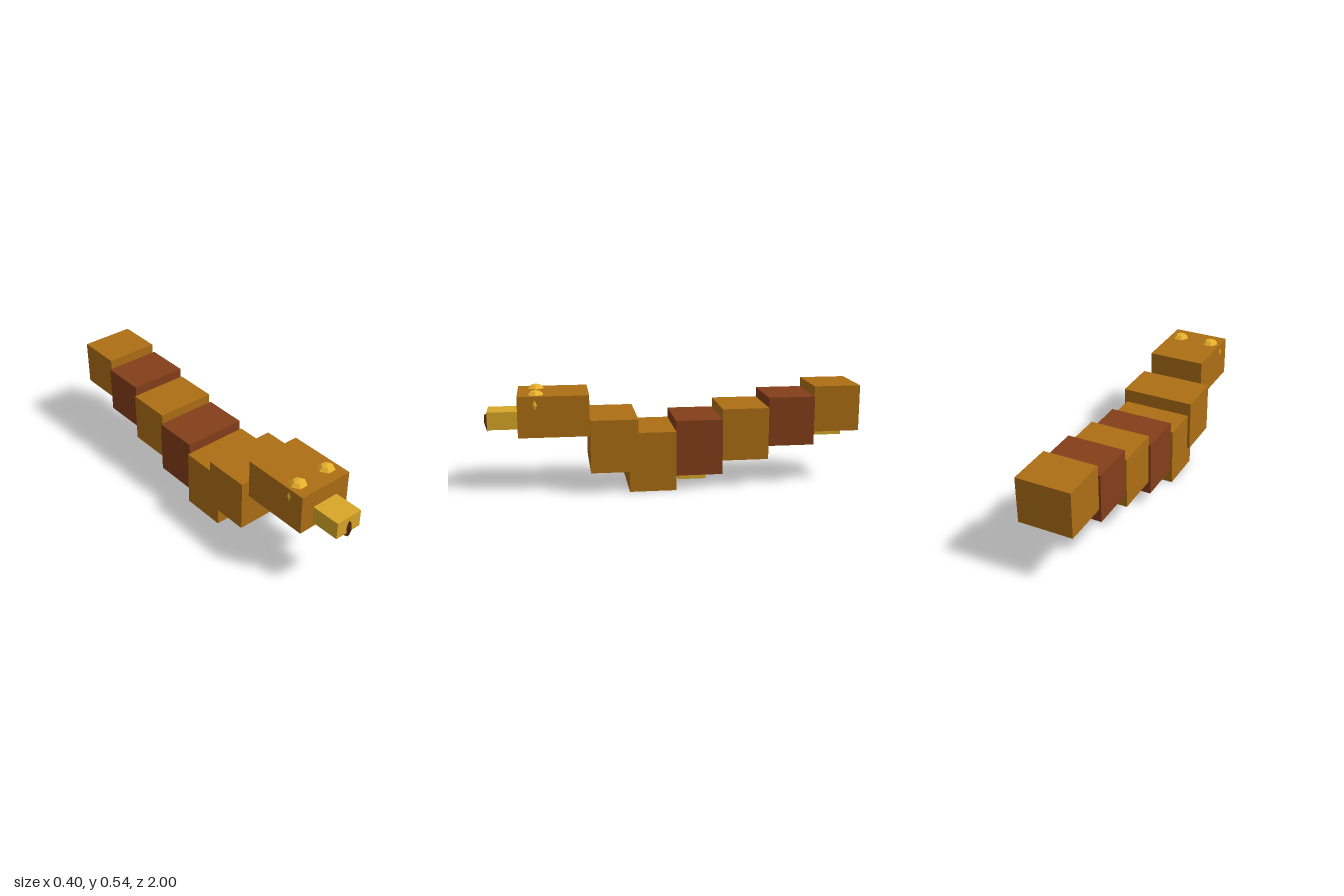
import * as THREE from 'three';
import { ConvexGeometry } from 'three/addons/geometries/ConvexGeometry.js';

const material = (color) => new THREE.MeshStandardMaterial({ color, flatShading: true });

export function createModel() {
  const model = new THREE.Group();
  const amber = material(0xad6f14);
  const brown = material(0x843e1a);
  const yellow = material(0xd9a829);
  const gold = material(0xe8b02c);
  const dark = material(0x6b3318);

  const add = (name, geometry, mat, x = 0, y = 0, z = 0) => {
    const mesh = new THREE.Mesh(geometry, mat);
    mesh.name = name;
    mesh.position.set(x, y, z);
    model.add(mesh);
    return mesh;
  };

  // Box centred on x = 0, given its half width and its y and z ranges
  const block = (name, mat, half, y0, y1, z0, z1) =>
    add(name, new THREE.BoxGeometry(half * 2, y1 - y0, z1 - z0), mat, 0, (y0 + y1) / 2, (z0 + z1) / 2);

  // Body segments from tail to head
  block('tailSegment', amber, 0.146, 0.286, 0.533, -1, -0.75);
  block('rearBand', brown, 0.157, 0.217, 0.48, -0.75, -0.5);
  block('middleSegment', amber, 0.165, 0.147, 0.426, -0.5, -0.25);
  block('frontBand', brown, 0.175, 0.076, 0.373, -0.25, 0);
  block('chestSegment', amber, 0.187, 0, 0.318, 0, 0.247);
  block('neck', amber, 0.202, 0.113, 0.393, 0.2, 0.45);
  block('head', amber, 0.156, 0.301, 0.518, 0.45, 0.82);
  block('snout', yellow, 0.078, 0.331, 0.425, 0.82, 0.98);

  // Pads under the belly
  block('frontPad', yellow, 0.12, 0.04, 0.076, -0.167, -0.02);
  block('rearPad', yellow, 0.1, 0.257, 0.286, -0.916, -0.77);

  // Low six-sided domed eyes and small diamond marks on the cheeks
  const profile = [[0.048, 0], [0.027, 0.018], [0, 0.024]].map(([r, y]) => new THREE.Vector2(r, y));
  const dome = new THREE.LatheGeometry(profile, 6, Math.PI / 2);
  for (const side of [-1, 1]) {
    add('eye', dome, gold, side * 0.094, 0.517, 0.725);
    add('cheekMark', new THREE.OctahedronGeometry(1), gold, side * 0.156, 0.472, 0.73)
      .scale.set(0.007, 0.028, 0.013);
  }

  // Faceted fang on the snout tip, with a barbed lower end
  const hull = (points) => new ConvexGeometry(points.map((p) => new THREE.Vector3(...p)));
  add('fang', hull([
    [0, 0.402, 0.978], [0, 0.4, 0.996], [0, 0.36, 1], [-0.016, 0.36, 0.978], [0.016, 0.36, 0.978],
    [-0.009, 0.33, 0.976], [0.009, 0.33, 0.976], [0, 0.312, 0.987],
  ]), dark);
  add('fangBarb', hull([
    [-0.031, 0.324, 0.965], [0.031, 0.324, 0.965], [-0.025, 0.333, 0.965], [0.025, 0.333, 0.965],
    [0, 0.307, 0.984], [0, 0.334, 0.942], [0, 0.342, 0.985],
  ]), dark);

  return model;
}
